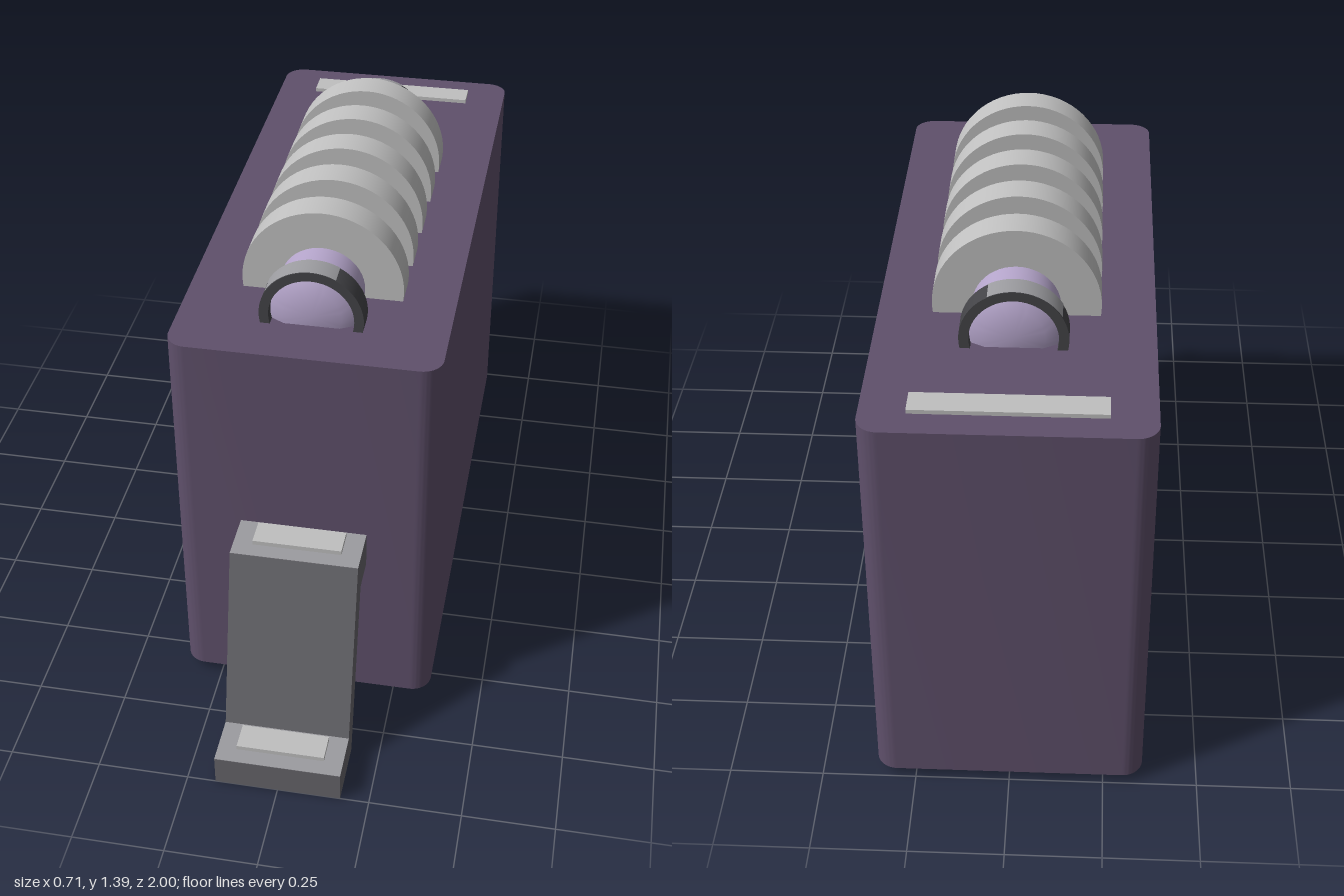
import * as THREE from 'three';
import { toCreasedNormals } from 'three/addons/utils/BufferGeometryUtils.js';

const mat = (name, color) => {
  const m = new THREE.MeshStandardMaterial({ color });
  m.name = name;
  return m;
};

export function createModel() {
  const purple = mat('purple', 0x5f506b);
  const lavender = mat('lavender', 0xb5a5cb);
  const silver = mat('silver', 0xc0c0c0);
  const grey = mat('grey', 0x67666b);
  const lightGrey = mat('lightGrey', 0x9c9ca0);
  const charcoal = mat('charcoal', 0x444448);

  const model = new THREE.Group();
  model.name = 'finnedUnit';
  const add = (name, geometry, material, x = 0, y = 0, z = 0) => {
    const mesh = new THREE.Mesh(geometry, material);
    mesh.name = name;
    mesh.position.set(x, y, z);
    model.add(mesh);
    return mesh;
  };
  const smooth = (g) => toCreasedNormals(g, 0.6);

  // Main case: rounded rectangle raised upwards
  const w = 0.355, l = 0.8, r = 0.055;
  const plan = new THREE.Shape();
  plan.moveTo(w, -l + r);
  plan.absarc(w - r, l - r, r, 0, Math.PI / 2);
  plan.absarc(-w + r, l - r, r, Math.PI / 2, Math.PI);
  plan.absarc(-w + r, -l + r, r, Math.PI, Math.PI * 1.5);
  plan.absarc(w - r, -l + r, r, Math.PI * 1.5, Math.PI * 2);
  const caseGeo = new THREE.ExtrudeGeometry(plan, { depth: 1.12, bevelEnabled: false, curveSegments: 8 });
  caseGeo.rotateX(-Math.PI / 2);
  add('case', smooth(caseGeo), purple, 0, 0.03, -0.2);

  // Half-sunk barrel with chamfered ends
  const axisY = 1.178, midZ = -0.093;
  const barrel = new THREE.LatheGeometry([
    [0, -0.545], [0.078, -0.545], [0.113, -0.525], [0.113, 0.525], [0.078, 0.545], [0, 0.545],
  ].map(([x, y]) => new THREE.Vector2(x, y)), 48);
  barrel.rotateX(Math.PI / 2);
  add('barrel', smooth(barrel), lavender, 0, axisY, midZ);

  // Round fins along the barrel
  for (let i = -2; i <= 2; i++) {
    const fin = new THREE.CylinderGeometry(0.216, 0.216, 0.086, 64);
    fin.rotateX(Math.PI / 2);
    add('fin', fin, silver, 0, axisY, midZ + i * 0.1745);
  }

  // End collars, each with a pale band over the top
  const ring = new THREE.Shape().absarc(0, 0, 0.137, 0, Math.PI * 2);
  ring.holes.push(new THREE.Path().absarc(0, 0, 0.112, 0, Math.PI * 2));
  const deg = Math.PI / 180;
  for (const s of [-1, 1]) {
    const collar = new THREE.ExtrudeGeometry(ring, { depth: 0.061, bevelEnabled: false, curveSegments: 32 });
    collar.translate(0, 0, -0.0305);
    add('collar', smooth(collar), charcoal, 0, axisY, midZ + s * 0.522);
    const band = new THREE.CylinderGeometry(0.1385, 0.1385, 0.061, 24, 1, true, 152 * deg, 88 * deg);
    band.rotateX(Math.PI / 2);
    add('collarBand', band, lightGrey, 0, axisY, midZ + s * 0.522);
  }

  // Stepped front bracket: side profile in (z, y)
  const profile = new THREE.Shape([
    [0.59, 0.49], [0.69, 0.49], [0.824, 0], [1, 0], [1, 0.087], [0.866, 0.087], [0.733, 0.592], [0.59, 0.592],
  ].map(([z, y]) => new THREE.Vector2(z, y)));
  const bracket = new THREE.ExtrudeGeometry(profile, { depth: 0.344, bevelEnabled: false });
  bracket.rotateY(-Math.PI / 2);
  add('bracket', bracket, grey, 0.172);

  // Pale top faces and raised pads on the two bracket steps
  const steps = [
    { y: 0.592, z0: 0.6, z1: 0.733, pad: 0.652 },
    { y: 0.087, z0: 0.866, z1: 1, pad: 0.918 },
  ];
  for (const { y, z0, z1, pad } of steps) {
    const top = new THREE.PlaneGeometry(0.344, z1 - z0);
    top.rotateX(-Math.PI / 2);
    add('bracketTop', top, lightGrey, 0, y + 0.0015, (z0 + z1) / 2);
    add('bracketPad', new THREE.BoxGeometry(0.24, 0.014, 0.076), silver, 0, y + 0.007, pad);
  }

  // Flat strip at the back of the case top
  add('rearStrip', new THREE.BoxGeometry(0.48, 0.02, 0.072), silver, 0, 1.151, -0.888);

  return model;
}
